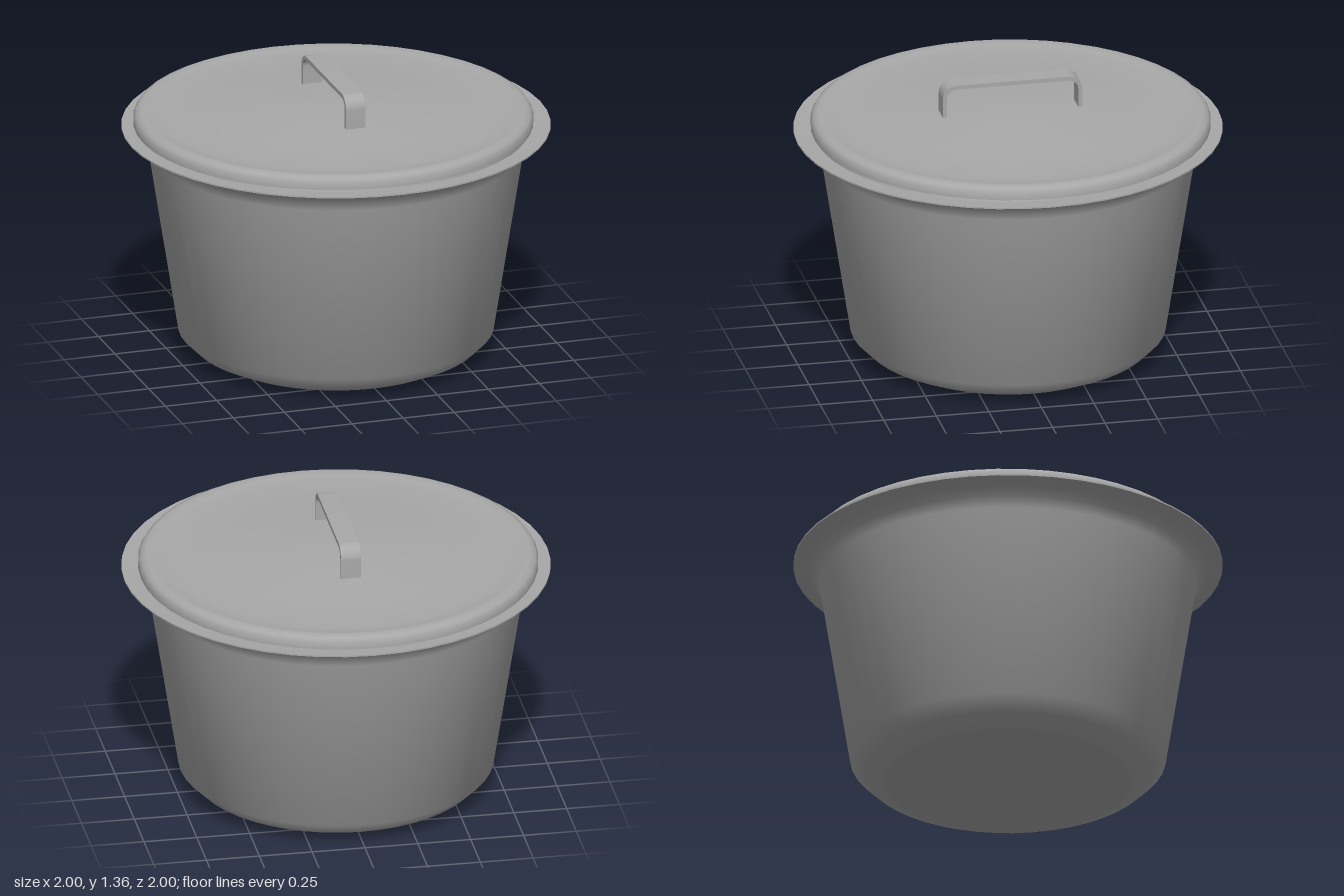
import * as THREE from 'three';
import { toCreasedNormals } from 'three/addons/utils/BufferGeometryUtils.js';

const SEGMENTS = 48;

export function createModel() {
  const model = new THREE.Group();
  model.name = 'lidded pot';
  const steel = new THREE.MeshStandardMaterial({ color: 0xa8a8a8 });
  steel.name = 'brushed steel';

  const add = (parent, name, geometry, crease) => {
    const mesh = new THREE.Mesh(toCreasedNormals(geometry, crease), steel);
    mesh.name = name;
    parent.add(mesh);
    return mesh;
  };
  const lathe = (profile) =>
    new THREE.LatheGeometry(profile.map(([r, y]) => new THREE.Vector2(r, y)), SEGMENTS);

  // Pot: tapered outer wall, flared rim, then the inner wall and floor
  add(model, 'potBody', lathe([
    [0.575, 0], [0.67, 0.045], [0.735, 0.11], [0.875, 1.0], [0.895, 1.05],
    [0.93, 1.08], [1.0, 1.105], [1.0, 1.112], [0.91, 1.105], [0.875, 1.07],
    [0.855, 1.0], [0.715, 0.12], [0.66, 0.065], [0.56, 0.02], [0, 0.02],
  ]), 0.7);

  // Flat base
  add(model, 'potBase', new THREE.CircleGeometry(0.575, SEGMENTS)
    .rotateY(0).rotateX(Math.PI / 2), 0.3);

  // Lid: rolled edge with a shallow dome, resting a little off centre
  const lid = new THREE.Group();
  lid.name = 'lid';
  lid.position.set(-0.008, 0, -0.014);
  model.add(lid);
  add(lid, 'lidCover', lathe([
    [0, 1.1], [0.85, 1.1], [0.915, 1.112], [0.932, 1.118], [0.932, 1.15],
    [0.92, 1.17], [0.895, 1.181], [0.86, 1.173], [0.8, 1.168], [0.57, 1.18],
    [0.25, 1.206], [0, 1.212],
  ]), 0.7);

  // Handle: flat strap bent into a rounded bridge
  const bridge = (path, half, foot, top, r) => {
    path.moveTo(-half, foot);
    path.lineTo(-half, top - r);
    path.absarc(-half + r, top - r, r, Math.PI, Math.PI / 2, true);
    path.lineTo(half - r, top);
    path.absarc(half - r, top - r, r, Math.PI / 2, 0, true);
    path.lineTo(half, foot);
    return path;
  };
  const outer = bridge(new THREE.Path(), 0.332, 1.19, 1.355, 0.065).getPoints(6);
  const inner = bridge(new THREE.Path(), 0.312, 1.19, 1.335, 0.045).getPoints(6);
  const strap = new THREE.Shape([...outer, ...inner.reverse()]);
  const strapGeometry = new THREE.ExtrudeGeometry(strap, { depth: 0.095, bevelEnabled: false })
    .translate(0, 0, -0.0475)
    .rotateY(-Math.PI / 2);
  add(lid, 'lidHandle', strapGeometry, 0.6);

  return model;
}
